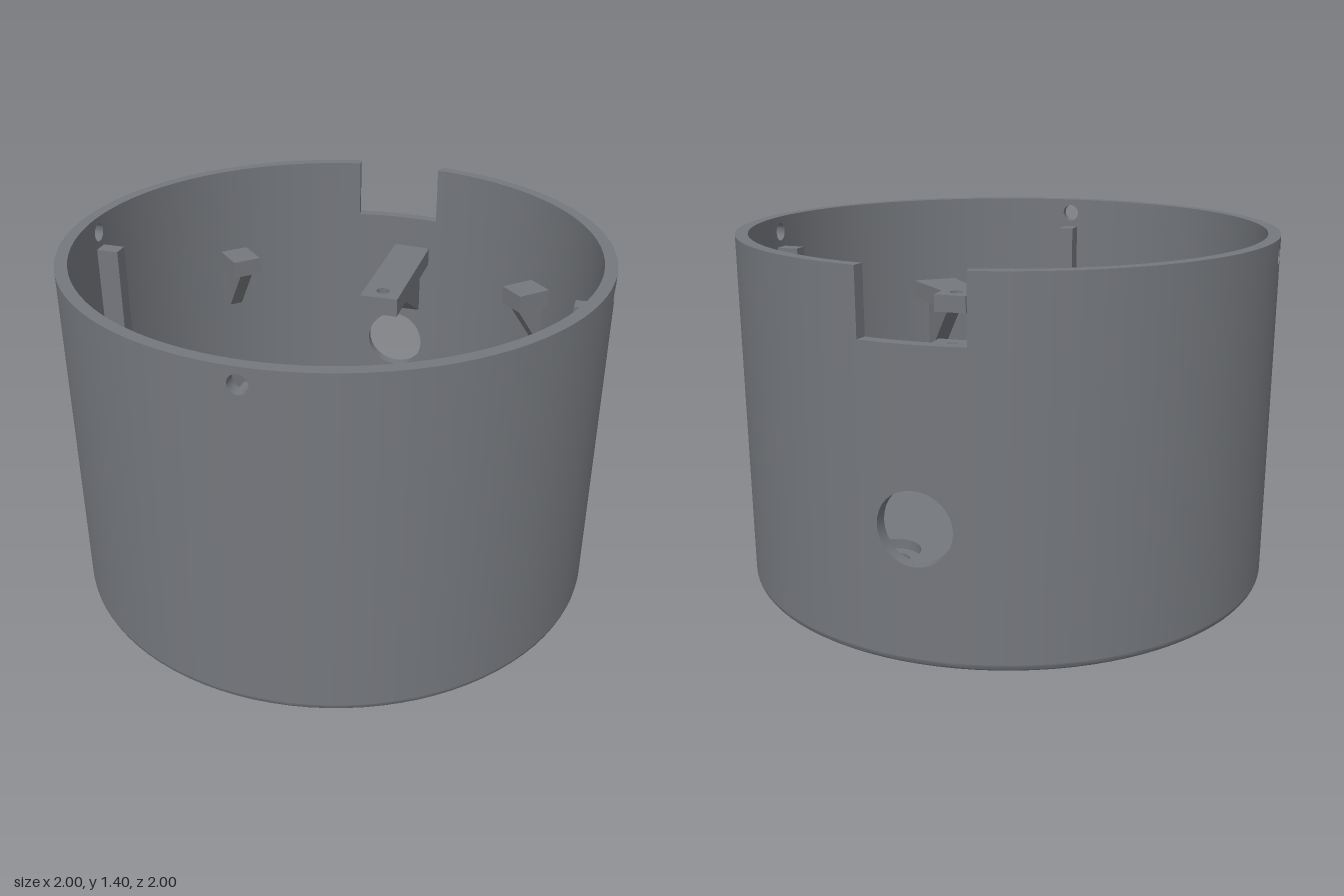
import * as THREE from 'three';
import { toCreasedNormals } from 'three/addons/utils/BufferGeometryUtils.js';

const OUTER = 1, INNER = 0.955, TOP = 1.4, FLOOR = 0.185, BASE = 0.085;
const CREASE = 0.6;

export function createModel() {
  const root = new THREE.Group();
  root.name = 'housing';
  const grey = new THREE.MeshStandardMaterial({ color: 0x74777c });
  grey.name = 'slate grey';

  const add = (name, geometry, parent = root) => {
    const mesh = new THREE.Mesh(geometry, grey);
    mesh.name = name;
    parent.add(mesh);
    return mesh;
  };

  // Horizontal plate from an outline in x and z, hanging down from yTop
  const slab = (shape, holes, yTop, depth) => {
    for (const [x, z, r] of holes) {
      shape.holes.push(new THREE.Path().absarc(x, z, r, 0, Math.PI * 2, true));
    }
    const g = new THREE.ExtrudeGeometry(shape, { depth, bevelEnabled: false, curveSegments: 48 });
    g.rotateX(Math.PI / 2).translate(0, yTop, 0);
    return toCreasedNormals(g, CREASE);
  };
  const outline = (pts) => new THREE.Shape(pts.map(([x, z]) => new THREE.Vector2(x, z)));
  const disc = (r) => new THREE.Shape().absarc(0, 0, r, 0, Math.PI * 2, false);
  const lathe = (pts, n) => toCreasedNormals(
    new THREE.LatheGeometry(pts.map(([r, y]) => new THREE.Vector2(r, y)), n), CREASE);

  add('wall', wallGeometry());

  // Floor: through holes below, wider counterbores above, one blind hole underneath
  const bolts = [[-0.355, -0.355], [0.355, -0.355], [-0.355, 0.355], [0.355, 0.355]];
  add('floorLower', slab(disc(0.97),
    [...bolts.map(([x, z]) => [x, z, 0.068]), [0.5, -0.03, 0.055]], 0.145, 0.145 - BASE));
  add('floorUpper', slab(disc(0.97), bolts.map(([x, z]) => [x, z, 0.11]), FLOOR, 0.04));

  // Rounded lower edge
  const fillet = [];
  for (let i = 0; i <= 6; i++) {
    const a = (i / 6) * Math.PI / 2;
    fillet.push([0.97 + 0.03 * Math.sin(a), 0.115 - 0.03 * Math.cos(a)]);
  }
  add('bottomEdge', lathe(fillet, 96));

  // Round boss under the floor
  add('baseBoss', lathe([[0, 0], [0.302, 0], [0.311, 0.009], [0.311, 0.1]], 64));

  // Screw posts standing on the floor
  const postTop = FLOOR + 0.25;
  const postGeometry = lathe([[0.068, FLOOR - 0.01], [0.068, postTop], [0.027, postTop],
    [0.027, FLOOR + 0.02], [0, FLOOR + 0.02]], 32);
  for (const [x, z] of [[0.52, -0.52], [0.52, 0.52], [-0.52, 0.52], [0.07, 0.09]]) {
    add('screwPost', postGeometry).position.set(x, 0, z);
  }

  // Upright ribs below the rim holes
  const ribHeight = 1.28 - FLOOR + 0.01;
  const ribGeometry = new THREE.BoxGeometry(0.095, ribHeight, 0.06);
  for (const a of [0, Math.PI / 2, Math.PI]) {
    const rib = add('wallRib', ribGeometry);
    rib.position.set(Math.cos(a) * 0.917, 1.28 - ribHeight / 2, Math.sin(a) * 0.917);
    rib.rotation.y = -a;
  }

  // Triangular web in the local x-y plane, deepest at the wall end
  const gusset = (x0, x1, yTop, yBottom, width) => {
    const s = outline([[x0, yTop], [x1, yBottom], [x1, yTop]]);
    return new THREE.ExtrudeGeometry(s, { depth: width, bevelEnabled: false })
      .translate(0, 0, -width / 2);
  };

  // Three support blocks on the wall
  for (const [sx, sz] of [[-1, -1], [1, -1], [-1, 1]]) {
    const support = new THREE.Group();
    support.name = 'wallSupport';
    support.rotation.y = -Math.atan2(sz, sx);
    add('supportBlock', new THREE.BoxGeometry(0.155, 0.07, 0.12).translate(0.8875, 1.01, 0), support);
    add('supportWeb', gusset(0.82, 0.965, 0.98, 0.77, 0.055), support);
    root.add(support);
  }

  // Long bracket reaching in from the back
  add('longBracket', slab(
    outline([[-0.01, -0.965], [0.145, -0.965], [0.145, -0.37], [-0.01, -0.37]]),
    [[0.068, -0.44, 0.027]], 1.04, 0.075));
  const backWeb = add('longBracketWeb', gusset(0.55, 0.96, 0.97, 0.73, 0.08));
  backWeb.position.x = 0.068;
  backWeb.rotation.y = Math.PI / 2;

  // Angled bracket near the front
  add('angledBracket', slab(
    outline([[0.315, 0.405], [0.46, 0.405], [0.46, 0.5], [0.672, 0.698], [0.515, 0.82], [0.315, 0.57]]),
    [[0.388, 0.488, 0.027]], 1.04, 0.075));
  const frontWeb = add('angledBracketWeb', gusset(0.06, 0.35, 0.97, 0.68, 0.06));
  frontWeb.position.set(0.37, 0.49, 0).set(0.37, 0, 0.49);
  frontWeb.rotation.y = -Math.atan2(0.26, 0.215);

  return root;
}

// Round wall built in columns, with a back notch, three rim holes and a back port
function wallGeometry() {
  const notch = Math.asin(0.18), notchY = 1.17, lowY = 0.115;
  const holes = [
    { u: 0, y: 1.34, r: 0.035 }, { u: Math.PI / 2, y: 1.34, r: 0.035 },
    { u: Math.PI * 1.5, y: 1.34, r: 0.035 }, { u: Math.PI, y: 0.57, r: 0.13 },
  ];
  const start = -Math.PI / 4;
  let cuts = [Math.PI - notch, Math.PI + notch];
  for (let i = 0; i <= 96; i++) cuts.push(start + (i / 96) * Math.PI * 2);
  for (const h of holes) {
    for (let i = 0; i <= 16; i++) cuts.push(h.u - h.r * Math.cos((i / 16) * Math.PI));
  }
  cuts = cuts.sort((a, b) => a - b).filter((u, i, all) => i === 0 || u - all[i - 1] > 1e-4);

  const position = [];
  const P = (r, u, y) => [r * Math.sin(u), y, r * Math.cos(u)];
  const quad = (a, b, c, d) => position.push(...a, ...b, ...c, ...a, ...c, ...d);
  const cell = (u0, u1, lo0, lo1, hi0, hi1) => {
    quad(P(OUTER, u0, lo0), P(OUTER, u1, lo1), P(OUTER, u1, hi1), P(OUTER, u0, hi0));
    quad(P(INNER, u1, lo1), P(INNER, u0, lo0), P(INNER, u0, hi0), P(INNER, u1, hi1));
    quad(P(OUTER, u0, hi0), P(OUTER, u1, hi1), P(INNER, u1, hi1), P(INNER, u0, hi0));
    quad(P(INNER, u0, lo0), P(INNER, u1, lo1), P(OUTER, u1, lo1), P(OUTER, u0, lo0));
  };

  for (let i = 0; i < cuts.length - 1; i++) {
    const u0 = cuts[i], u1 = cuts[i + 1], mid = (u0 + u1) / 2;
    const top = Math.abs(mid - Math.PI) < notch ? notchY : TOP;
    const h = holes.find((o) => Math.abs(mid - o.u) < o.r);
    if (!h) {
      cell(u0, u1, lowY, lowY, top, top);
      continue;
    }
    const half = (u) => Math.sqrt(Math.max(0, h.r * h.r - (u - h.u) ** 2));
    cell(u0, u1, lowY, lowY, h.y - half(u0), h.y - half(u1));
    cell(u0, u1, h.y + half(u0), h.y + half(u1), top, top);
  }

  // Side faces of the notch
  const a = Math.PI - notch, b = Math.PI + notch;
  quad(P(OUTER, a, notchY), P(INNER, a, notchY), P(INNER, a, TOP), P(OUTER, a, TOP));
  quad(P(INNER, b, notchY), P(OUTER, b, notchY), P(OUTER, b, TOP), P(INNER, b, TOP));

  const g = new THREE.BufferGeometry();
  g.setAttribute('position', new THREE.Float32BufferAttribute(position, 3));
  return toCreasedNormals(g, CREASE);
}
